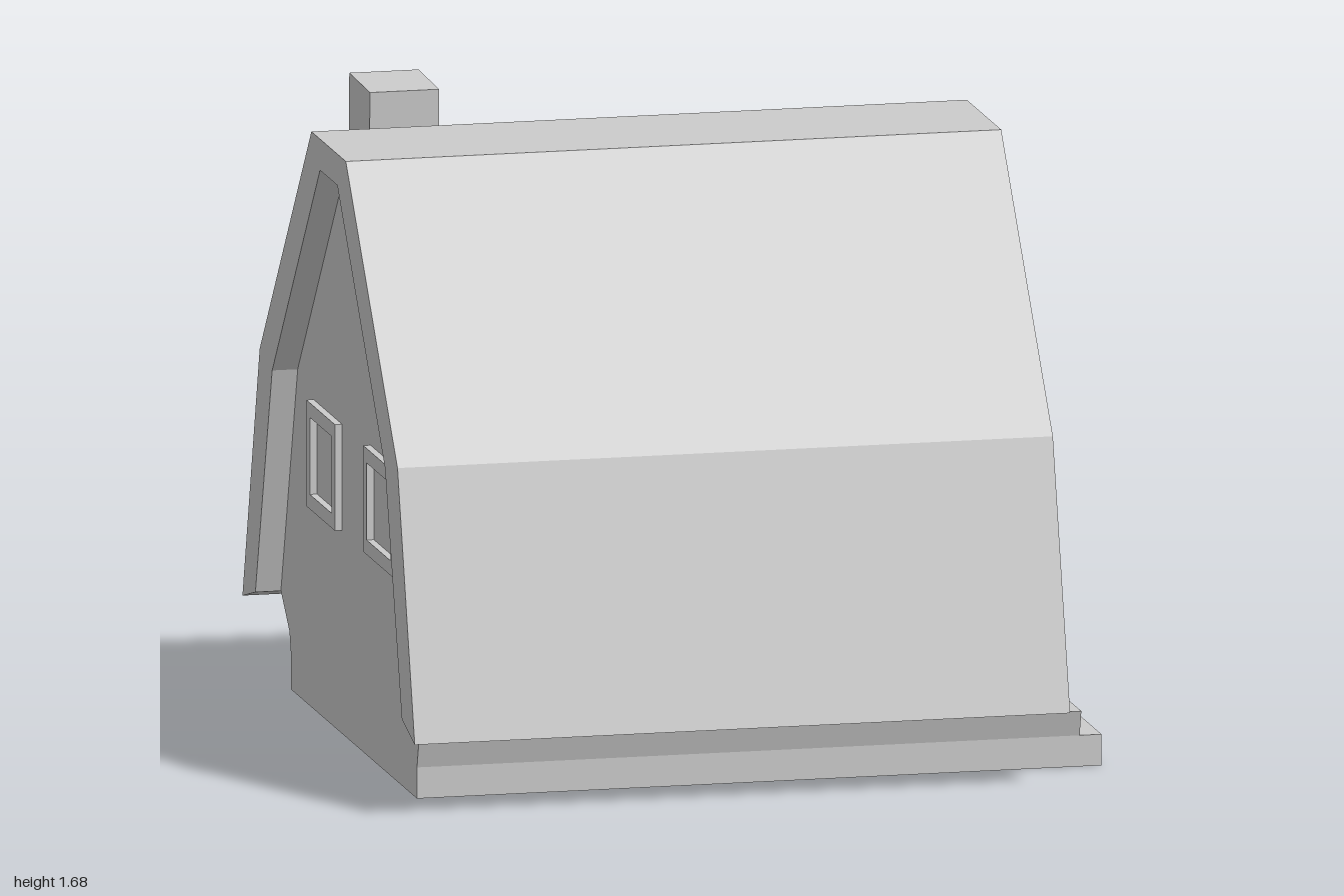
import * as THREE from 'three';

const material = new THREE.MeshStandardMaterial({ color: 0xcccccc, flatShading: true });

// Points are [z, y]; the shape is drawn in -z so that a quarter turn faces it to +x.
const flip = (pts) => pts.map(([z, y]) => new THREE.Vector2(-z, y));
const mirrored = (half) => [...half, ...half.map(([z, y]) => [-z, y]).reverse()];

// Extrudes a [z, y] outline along x from x0 to x1.
function slab(name, pts, x0, x1, hole) {
  const shape = new THREE.Shape(flip(pts));
  if (hole) shape.holes.push(new THREE.Path(flip(hole)));
  const geometry = new THREE.ExtrudeGeometry(shape, { depth: x1 - x0, bevelEnabled: false });
  geometry.rotateY(Math.PI / 2).translate(x0, 0, 0);
  const mesh = new THREE.Mesh(geometry, material);
  mesh.name = name;
  return mesh;
}

export function createModel() {
  const house = new THREE.Group();
  house.name = 'cottage';

  const frontWall = 0.76, backWall = -0.91;

  // Foundation tiers, stepping out under the door
  house.add(slab('lowerStep', mirrored([[0.73, 0], [0.73, 0.085]]), backWall, 0.97));
  house.add(slab('upperStep', mirrored([[0.73, 0.085], [0.75, 0.155]]), backWall, 0.91));

  // Walls, filling the gable up to the underside of the roof
  const underside = [[0.85, 0.245], [0.655, 0.89], [0.1, 1.55]];
  house.add(slab('walls', mirrored([[0.75, 0.155], ...underside]), backWall, frontWall));

  // Thick folded roof shell overhanging both gables
  const outer = mirrored([[1, 0.205], [0.8, 0.92], [0.2, 1.635]]);
  const inner = mirrored(underside).reverse();
  house.add(slab('roof', [...outer, ...inner], -0.98, 0.82));

  // Crooked chimney rising from the back slope
  house.add(slab('chimney', [
    [-0.45, 1.68], [-0.69, 1.685], [-0.695, 1.53], [-0.705, 1.425], [-0.66, 1.285],
    [-0.58, 1.17], [-0.48, 1.2], [-0.425, 1.365], [-0.46, 1.405], [-0.455, 1.53],
  ], -0.76, -0.57));

  // Door frame, open at the sill
  house.add(slab('doorFrame', [
    [0.485, 0.155], [0.485, 0.78], [0.005, 0.78], [0.005, 0.155],
    [0.07, 0.155], [0.065, 0.72], [0.415, 0.72], [0.41, 0.155],
  ], frontWall, frontWall + 0.025));

  // Slightly skewed front window frame
  house.add(slab('frontWindowFrame',
    [[-0.28, 0.5], [-0.28, 0.855], [-0.575, 0.84], [-0.575, 0.5]],
    frontWall, frontWall + 0.02,
    [[-0.315, 0.545], [-0.315, 0.81], [-0.535, 0.803], [-0.535, 0.545]]));

  // Two back window frames
  for (const [z0, z1, y0, y1] of [[-0.47, -0.14, 0.555, 0.845], [0.19, 0.55, 0.565, 0.855]]) {
    const rect = (m) => [[z0 + m, y0 + m], [z0 + m, y1 - m], [z1 - m, y1 - m], [z1 - m, y0 + m]];
    house.add(slab('backWindowFrame', rect(0), backWall - 0.02, backWall, rect(0.04)));
  }

  return house;
}
